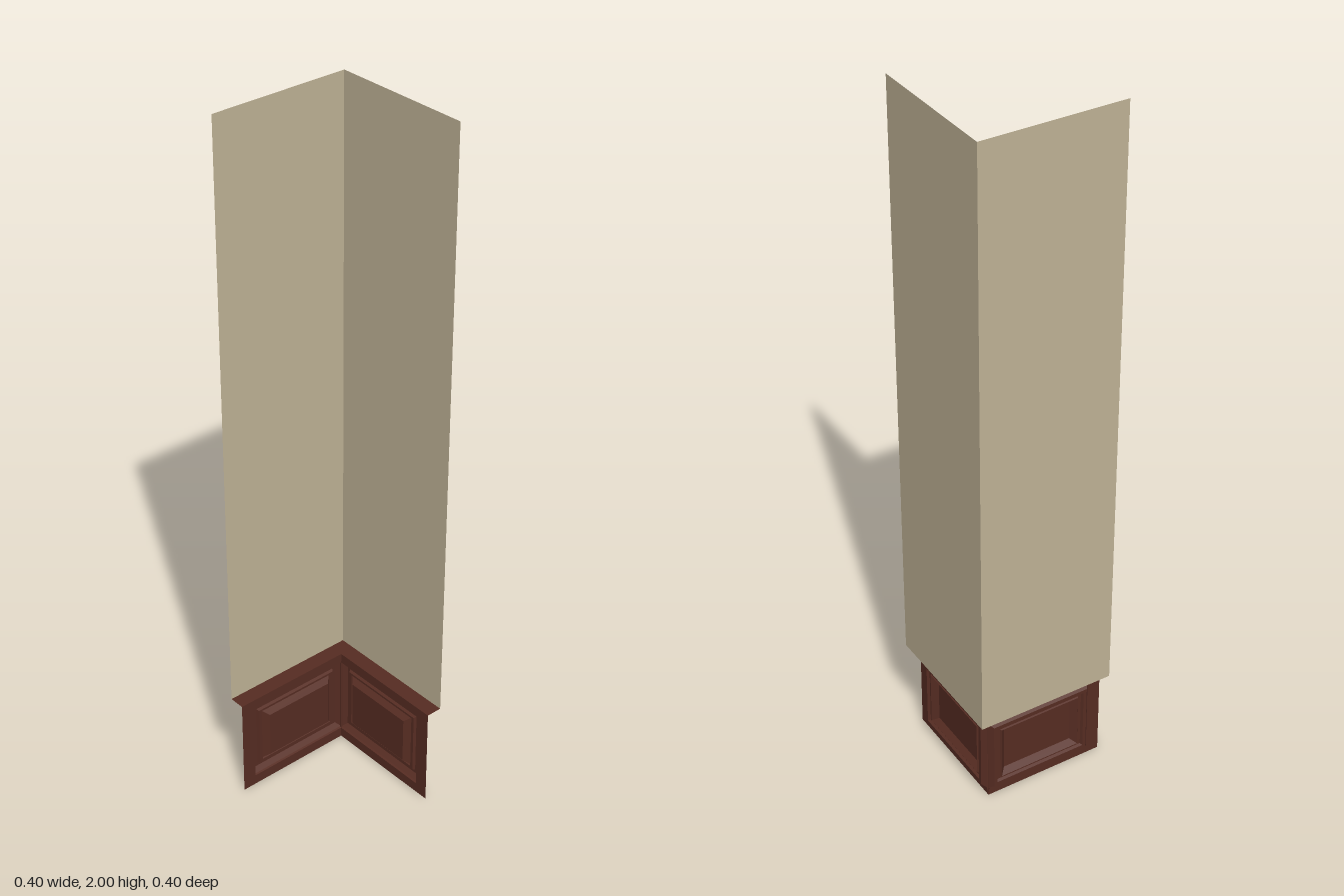
import * as THREE from 'three';

const HALF = 0.2, FACE = -0.155, RAIL = 0.295, TOP = 2;

// Panel relief from the outside in: half width, half height, depth from the face
const RELIEF = [
  [0.160, 0.118, 0],
  [0.158, 0.116, -0.005],
  [0.147, 0.105, -0.018],
  [0.137, 0.095, -0.018],
  [0.133, 0.091, -0.011],
  [0.124, 0.085, -0.011],
  [0.121, 0.083, -0.015],
  [0.105, 0.069, 0.001],
];

// Open sheet made of nested rectangles, closed by the raised field in the middle
function panelGeometry(x0, x1) {
  const rings = [[[x0, 0, FACE], [x1, 0, FACE], [x1, RAIL, FACE], [x0, RAIL, FACE]]];
  const cy = 0.1475;
  for (const [w, h, d] of RELIEF) {
    rings.push([[-w, cy - h, FACE + d], [w, cy - h, FACE + d], [w, cy + h, FACE + d], [-w, cy + h, FACE + d]]);
  }
  const pos = [];
  const quad = (a, b, c, d) => pos.push(...a, ...b, ...c, ...a, ...c, ...d);
  for (let i = 0; i < rings.length - 1; i++) {
    for (let k = 0; k < 4; k++) {
      const n = (k + 1) % 4;
      quad(rings[i][k], rings[i][n], rings[i + 1][n], rings[i + 1][k]);
    }
  }
  quad(...rings[rings.length - 1]);
  const g = new THREE.BufferGeometry();
  g.setAttribute('position', new THREE.Float32BufferAttribute(pos, 3));
  g.computeVertexNormals();
  return g;
}

export function createModel() {
  const plaster = new THREE.MeshStandardMaterial({ color: 0xc0b396, side: THREE.DoubleSide });
  plaster.name = 'beige plaster';
  const wood = new THREE.MeshStandardMaterial({ color: 0x562c22, side: THREE.DoubleSide });
  wood.name = 'dark red wood';

  const model = new THREE.Group();
  model.name = 'panelledWallCorner';
  const add = (parent, name, geometry, material) => {
    const mesh = new THREE.Mesh(geometry, material);
    mesh.name = name;
    parent.add(mesh);
    return mesh;
  };

  // Two wall sections at a right angle; the second is turned a quarter about y
  const section = (name, x0, x1, turn) => {
    const g = new THREE.Group();
    g.name = name;
    g.rotation.y = turn;
    const wall = new THREE.PlaneGeometry(2 * HALF, TOP - RAIL);
    wall.translate(0, (TOP + RAIL) / 2, -HALF);
    add(g, 'upperWall', wall, plaster);
    add(g, 'wainscotPanel', panelGeometry(x0, x1), wood);
    model.add(g);
  };
  section('backWall', FACE, HALF, 0);
  section('sideWall', -HALF, -FACE, Math.PI / 2);

  // L-shaped ledge between the panels and the upper walls
  const outline = new THREE.Shape([
    [-HALF, HALF], [-HALF, -HALF], [FACE, -HALF], [FACE, -FACE], [HALF, -FACE], [HALF, HALF],
  ].map(([x, y]) => new THREE.Vector2(x, y)));
  const ledge = new THREE.ShapeGeometry(outline);
  ledge.rotateX(-Math.PI / 2);
  ledge.translate(0, RAIL, 0);
  add(model, 'ledge', ledge, wood);

  return model;
}
